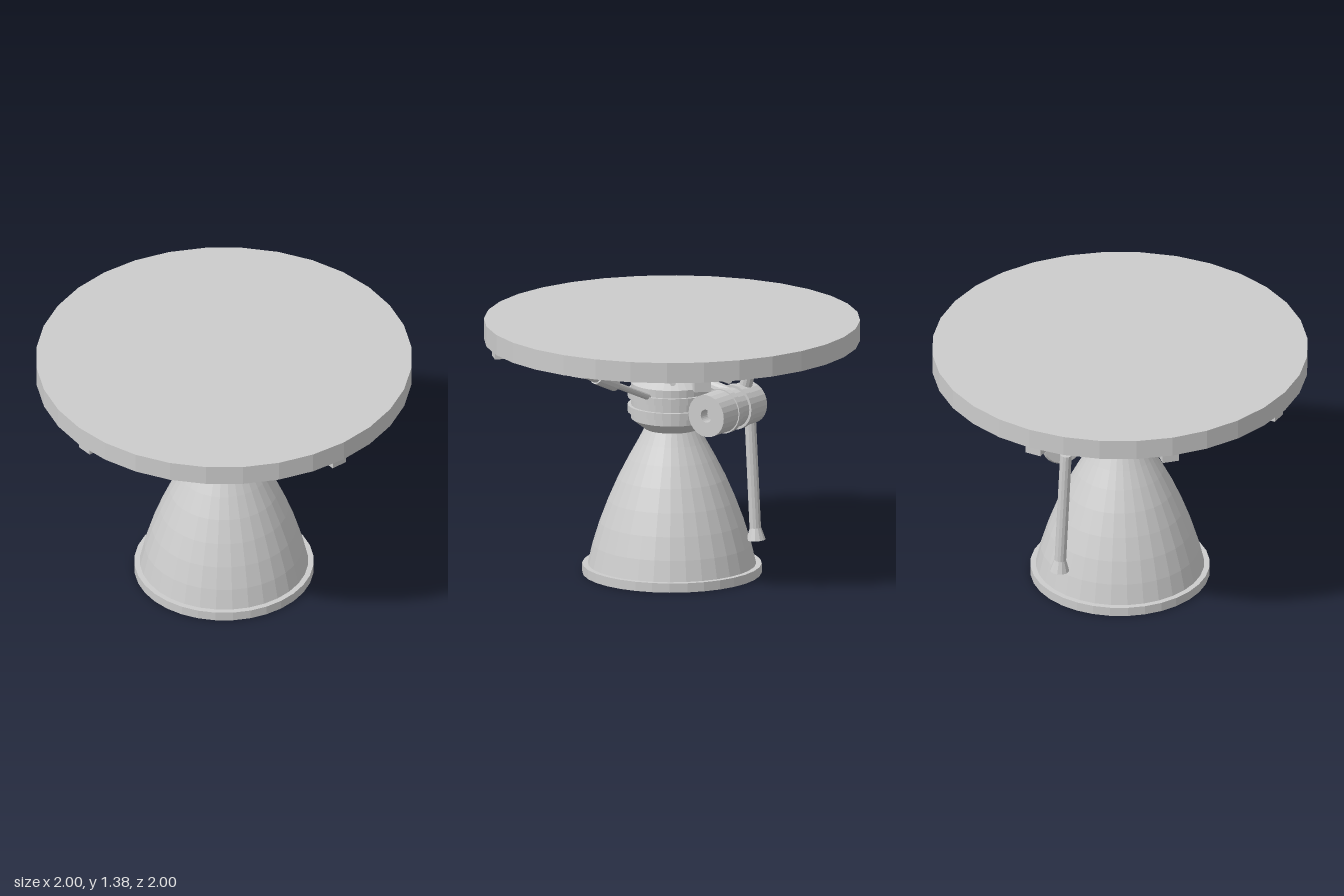
import * as THREE from 'three';

const mat = new THREE.MeshStandardMaterial({ color: 0xcccccc, flatShading: true });
const openMat = new THREE.MeshStandardMaterial({ color: 0xcccccc, flatShading: true, side: THREE.DoubleSide });
const V = (x, y, z) => new THREE.Vector3(x, y, z);

function add(parent, name, geometry, material = mat) {
  const mesh = new THREE.Mesh(geometry, material);
  mesh.name = name;
  parent.add(mesh);
  return mesh;
}

// Surface of revolution from [radius, height] pairs, listed bottom to top on the outside
function lathe(parent, name, points, sides = 32, material = mat) {
  return add(parent, name, new THREE.LatheGeometry(points.map(p => new THREE.Vector2(...p)), sides), material);
}

// Rod from a to b, optionally tapered
function rod(parent, name, a, b, ra, rb = ra, sides = 12) {
  const dir = b.clone().sub(a);
  const mesh = add(parent, name, new THREE.CylinderGeometry(rb, ra, dir.length(), sides));
  mesh.position.copy(a).add(b).multiplyScalar(0.5);
  mesh.quaternion.setFromUnitVectors(V(0, 1, 0), dir.normalize());
  return mesh;
}

// Point at an angle around the vertical axis (0 is +x, positive goes to +z)
const polar = (deg, r, y) => {
  const a = THREE.MathUtils.degToRad(deg);
  return V(r * Math.cos(a), y, r * Math.sin(a));
};

// Mount block under the plate, turned to face the centre
function block(parent, name, deg, r, w, h, d) {
  const mesh = add(parent, name, new THREE.BoxGeometry(w, h, d));
  mesh.position.copy(polar(deg, r, 1.275 - h / 2));
  mesh.rotation.y = -THREE.MathUtils.degToRad(deg);
}

export function createModel() {
  const model = new THREE.Group();
  model.name = 'rocketEngine';

  // Mounting plate
  add(model, 'mountingPlate', new THREE.CylinderGeometry(1, 1, 0.11, 32)).position.y = 1.325;
  add(model, 'plateCentre', new THREE.CylinderGeometry(0.64, 0.64, 0.01, 32)).position.y = 1.272;

  // Nozzle bell: outer wall up to the throat, then back down the inside
  const wall = [[0.45, 0.04], [0.422, 0.16], [0.385, 0.28], [0.34, 0.4], [0.288, 0.52], [0.232, 0.63], [0.182, 0.72], [0.14, 0.8]];
  const inner = wall.map(([r, y]) => [r - 0.015, y]).reverse();
  lathe(model, 'nozzleBell', [...wall, ...inner], 32, openMat);
  lathe(model, 'nozzleRim', [[0.435, 0], [0.477, 0], [0.477, 0.05], [0.435, 0.05], [0.435, 0]]);

  // Combustion chamber, bands and hub
  lathe(model, 'combustionChamber', [[0, 0.785], [0.14, 0.785], [0.218, 0.845], [0.218, 1.04], [0.15, 1.09], [0, 1.09]]);
  for (const y of [0.9, 0.98]) {
    add(model, 'chamberBand', new THREE.CylinderGeometry(0.236, 0.236, 0.038, 32)).position.y = y;
  }
  lathe(model, 'hub', [[0, 1.08], [0.135, 1.08], [0.135, 1.137], [0.203, 1.137], [0.203, 1.17], [0.13, 1.17], [0.13, 1.22], [0, 1.22]]);

  // V-shaped strut pairs, each with a block at the plate edge
  for (const deg of [45, 135, 180, 225, 315]) {
    const truss = new THREE.Group();
    truss.name = 'strutPair';
    model.add(truss);
    for (const side of [-1, 1]) {
      rod(truss, 'strut', polar(deg + side * 4, 0.12, 1.175), polar(deg + side * 9.5, 0.92, 1.252), 0.017, 0.017, 8);
    }
    block(truss, 'edgeBlock', deg, 0.93, 0.065, 0.065, 0.09);
  }

  // Steering actuators on the left and at the front
  for (const deg of [0, 90]) {
    const actuator = new THREE.Group();
    actuator.name = 'actuator';
    model.add(actuator);
    rod(actuator, 'pistonRod', polar(deg, 0.2, 0.99), polar(deg, 0.56, 1.14), 0.017);
    rod(actuator, 'barrel', polar(deg, 0.53, 1.128), polar(deg, 0.7, 1.2), 0.037);
    rod(actuator, 'barrelEnd', polar(deg, 0.69, 1.196), polar(deg, 0.83, 1.25), 0.03, 0.022);
    block(actuator, 'actuatorMount', deg, 0.827, 0.075, 0.045, 0.09);
  }

  // Turbopump lying across the back, with an open inlet on its left end
  const pump = lathe(model, 'turbopump', [
    [0, -0.2], [0.105, -0.2], [0.115, -0.19], [0.115, -0.07], [0.122, -0.07], [0.122, -0.035], [0.108, -0.035],
    [0.108, 0.04], [0.122, 0.04], [0.122, 0.075], [0.115, 0.075], [0.115, 0.21], [0.035, 0.21], [0.035, 0.15], [0, 0.15],
  ], 24);
  pump.rotation.z = -Math.PI / 2;
  pump.position.set(0, 0.943, -0.37);

  // Pump plumbing: feed from the plate, link to the chamber, exhaust with flared end
  rod(model, 'feedPipe', V(-0.122, 0.98, -0.375), V(-0.122, 1.272, -0.455), 0.034);
  rod(model, 'chamberLink', V(-0.04, 1.06, -0.13), V(-0.04, 1.02, -0.34), 0.032);
  rod(model, 'exhaustPipe', V(-0.208, 0.89, -0.36), V(-0.212, 0.25, -0.392), 0.031);
  const flare = add(model, 'exhaustFlare', new THREE.CylinderGeometry(0.031, 0.052, 0.065, 12, 1, true), openMat);
  flare.position.set(-0.212, 0.222, -0.395);
  flare.rotation.x = 0.05;

  return model;
}
